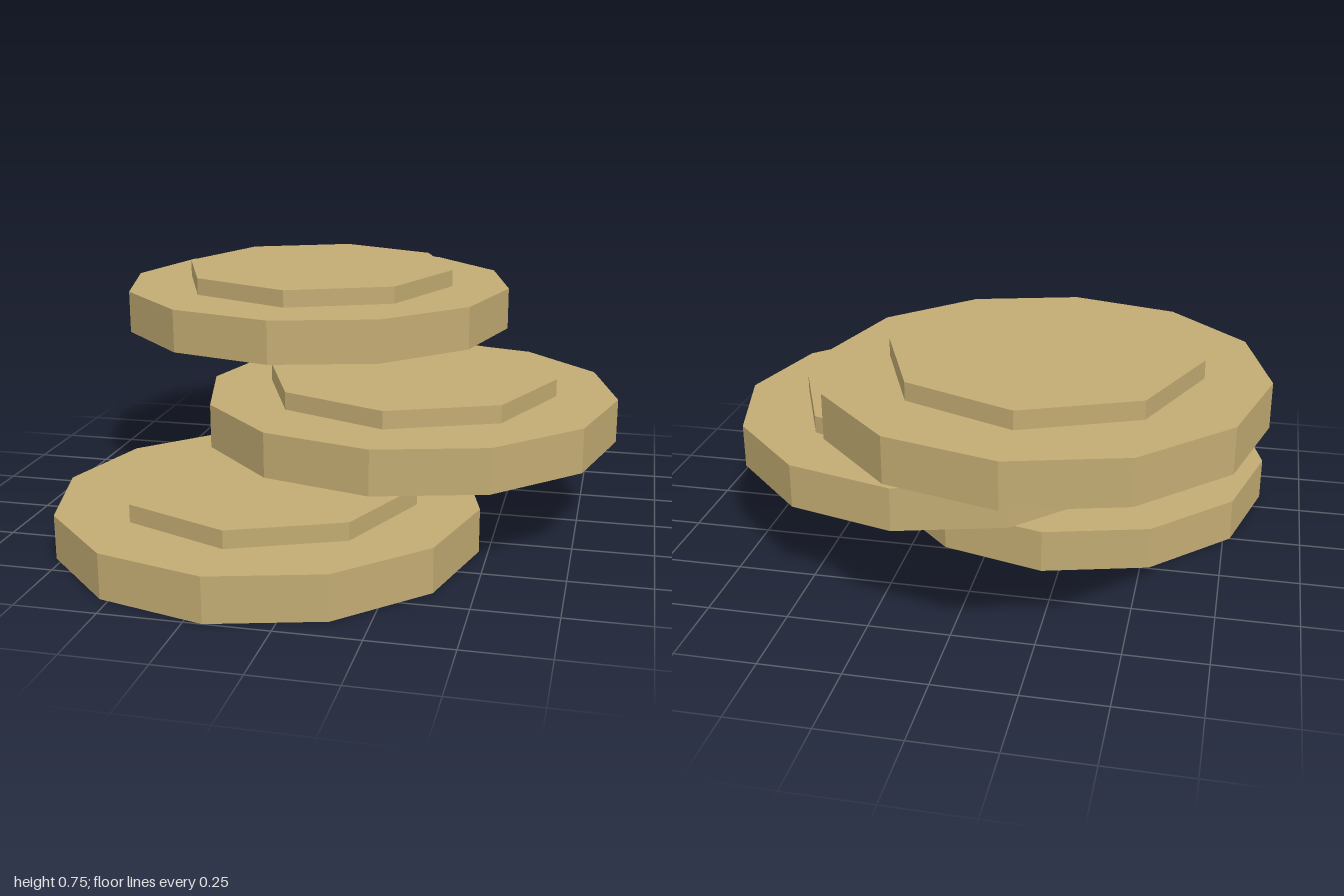
import * as THREE from 'three';

export function createModel() {
  const model = new THREE.Group();
  const sand = new THREE.MeshStandardMaterial({ color: 0xc2ab72, flatShading: true });
  sand.name = 'sand';

  const plateHeight = 0.139, capHeight = 0.056;
  const plateGeometry = new THREE.CylinderGeometry(0.667, 0.667, plateHeight, 12);
  const capGeometry = new THREE.CylinderGeometry(0.472, 0.472, capHeight, 8);

  // One stepped disc: a twelve-sided plate with a smaller eight-sided cap
  function addDisc(name, x, y, z) {
    const disc = new THREE.Group();
    disc.name = name;
    const plate = new THREE.Mesh(plateGeometry, sand);
    plate.name = 'plate';
    plate.position.y = plateHeight / 2;
    const cap = new THREE.Mesh(capGeometry, sand);
    cap.name = 'cap';
    cap.position.y = plateHeight + capHeight / 2;
    disc.add(plate, cap);
    disc.position.set(x, y, z);
    model.add(disc);
  }

  // Three floating discs, rising from front to back and staggered sideways
  addDisc('lowerDisc', -0.195, 0, 0.333);
  addDisc('middleDisc', 0.195, 0.278, 0);
  addDisc('upperDisc', -0.195, 0.556, -0.333);

  return model;
}
